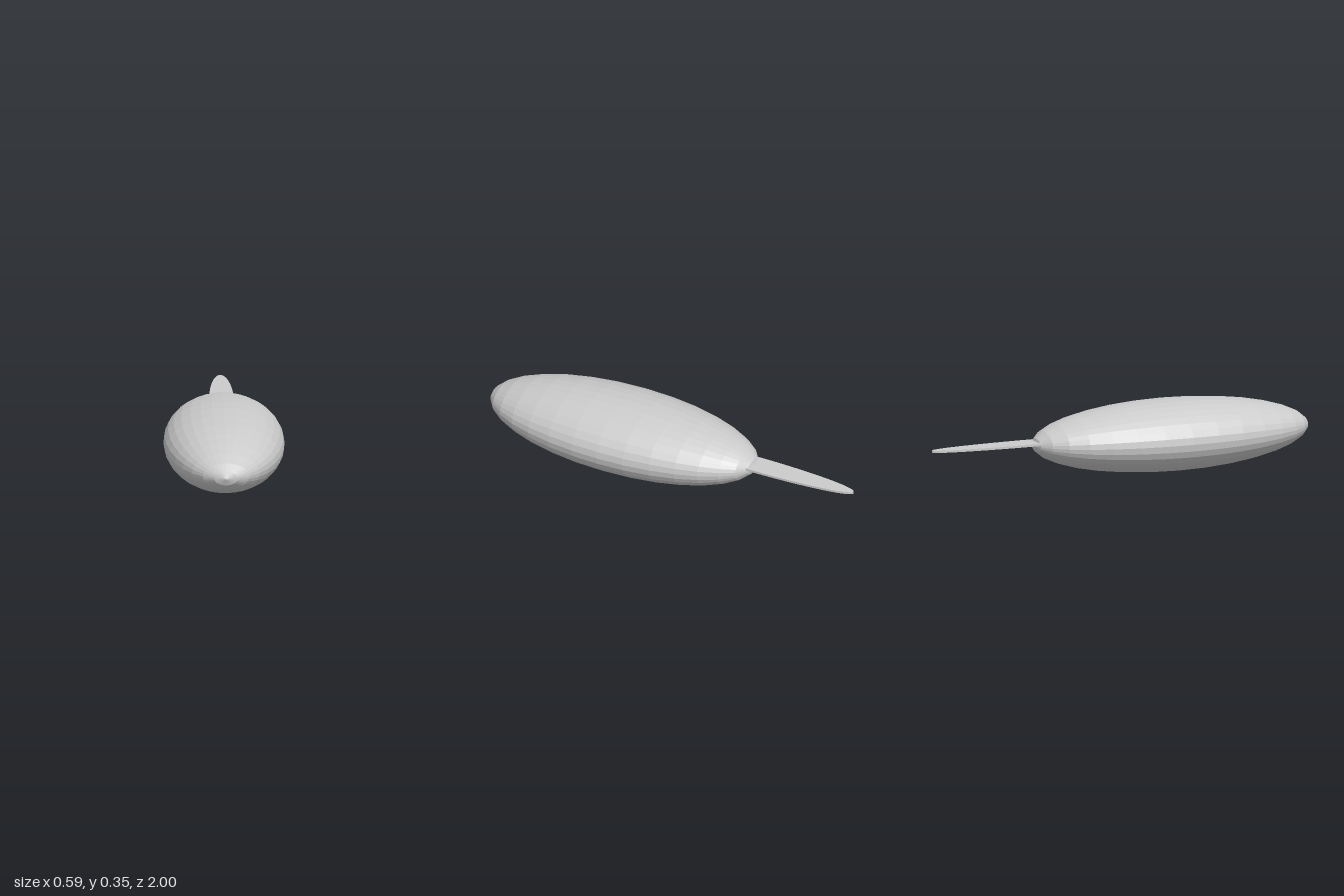
import * as THREE from 'three';

const material = new THREE.MeshStandardMaterial({ color: 0xcccccc, flatShading: true });

function addPart(group, name, geometry, position) {
  const mesh = new THREE.Mesh(geometry, material);
  mesh.name = name;
  mesh.position.set(...position);
  group.add(mesh);
}

export function createModel() {
  const group = new THREE.Group();

  // Faceted ellipsoid body, poles at the front and back ends
  const body = new THREE.SphereGeometry(1, 32, 16);
  body.rotateX(Math.PI / 2);
  body.scale(0.297, 0.175, 0.728);
  addPart(group, 'body', body, [0, 0.176, 0.272]);

  // Thin flat elliptical tail, its front half buried in the body
  const tail = new THREE.CylinderGeometry(1, 1, 0.011, 48);
  tail.scale(0.062, 1, 0.55);
  addPart(group, 'tail', tail, [0, 0.19, -0.45]);

  return group;
}
